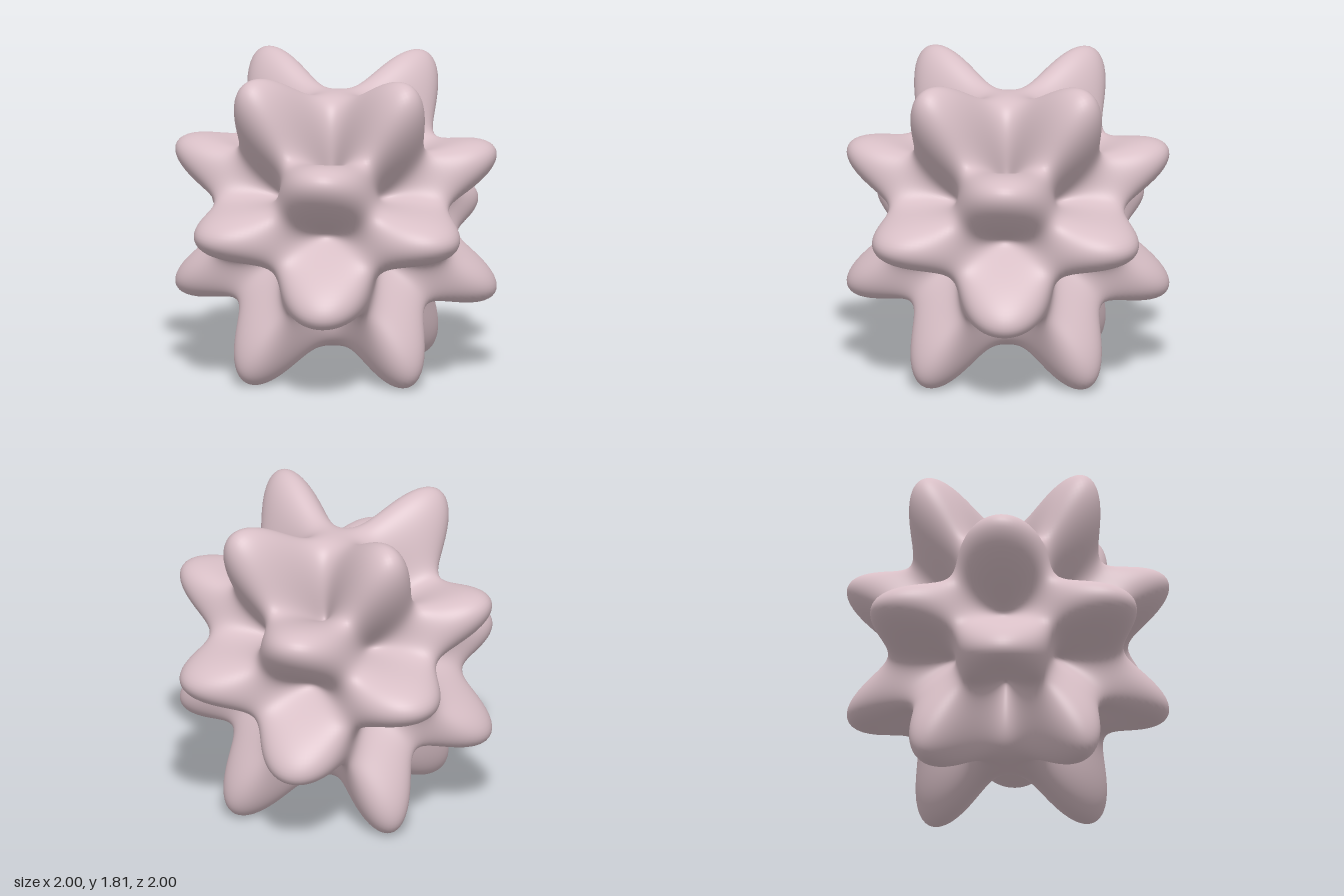
import * as THREE from 'three';
import { mergeVertices } from 'three/addons/utils/BufferGeometryUtils.js';

const BASE = 0.747;  // mean radius
const SWELL = 0.253; // lobe height at the equator

// Spherical harmonic of degree 8 and order 4, scaled to 1 at +x
function harmonic(dir) {
  const s = dir.y * dir.y;
  const azimuth = Math.atan2(dir.z, dir.x);
  return (1 - s) ** 2 * (65 * s * s - 26 * s + 1) * Math.cos(4 * azimuth);
}

// Sphere whose radius swells and dips with the harmonic
function lobedGeometry() {
  let geo = new THREE.SphereGeometry(1, 224, 160);
  const pos = geo.attributes.position;
  const dir = new THREE.Vector3();
  for (let i = 0; i < pos.count; i++) {
    dir.fromBufferAttribute(pos, i).normalize();
    const radius = BASE + SWELL * harmonic(dir);
    pos.setXYZ(i, dir.x * radius, dir.y * radius, dir.z * radius);
  }
  // Weld the seam and poles so the normals run smoothly across them
  geo.deleteAttribute('uv');
  geo.deleteAttribute('normal');
  geo = mergeVertices(geo, 1e-5);
  geo.computeVertexNormals();
  geo.computeBoundingBox();
  geo.translate(0, -geo.boundingBox.min.y, 0);
  return geo;
}

export function createModel() {
  const group = new THREE.Group();
  group.name = 'lobedSphere';
  const dustyPink = new THREE.MeshStandardMaterial({ color: 0xd8bfc6 });
  dustyPink.name = 'dustyPink';
  const body = new THREE.Mesh(lobedGeometry(), dustyPink);
  body.name = 'lobedBody';
  group.add(body);
  return group;
}
